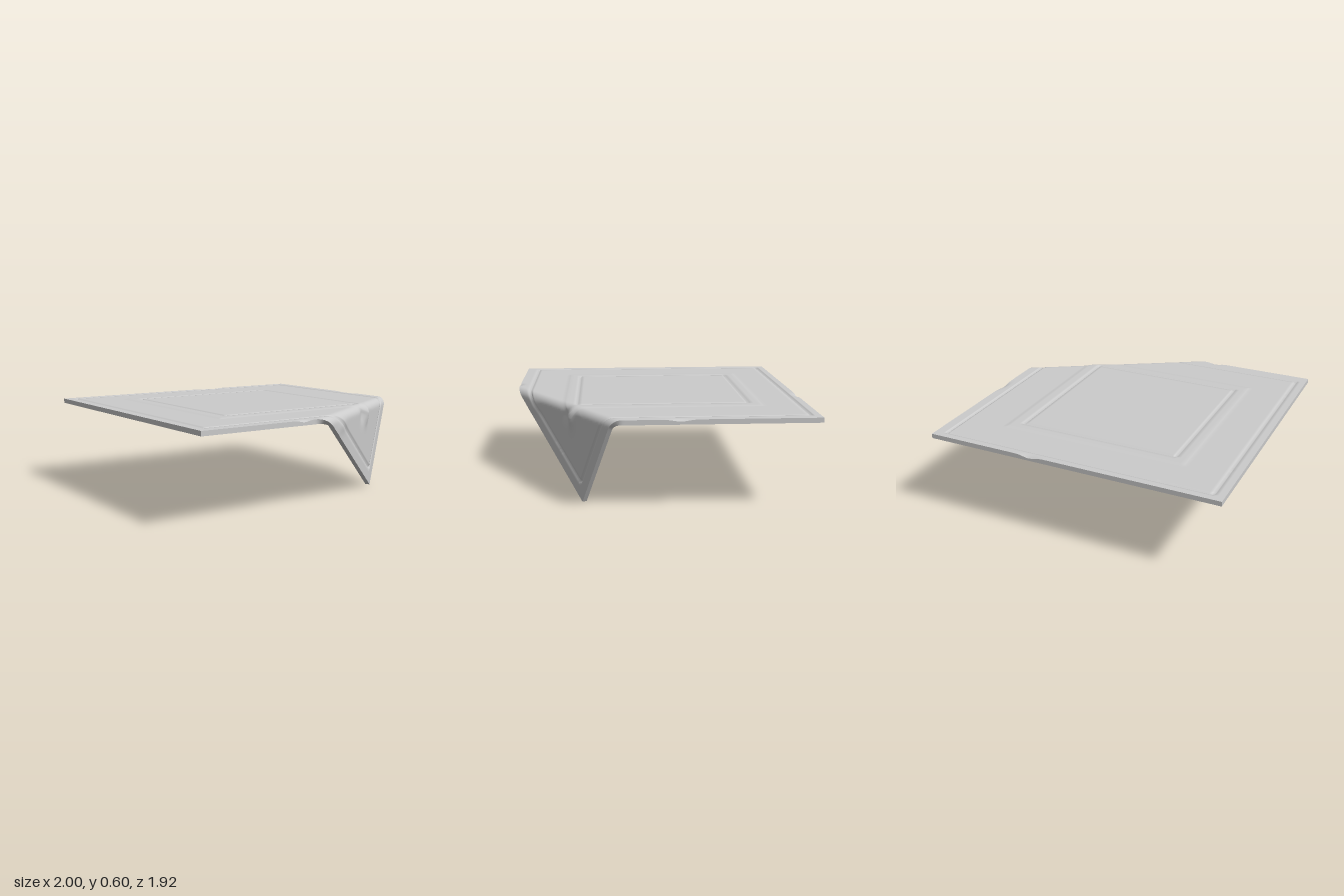
import * as THREE from 'three';

// Sheet limits, heights and the diagonal fold across the front right corner
const X0 = -1, X1 = 1, Z0 = -0.96, Z1 = 0.96, BOTTOM = 0.565, TOP = 0.596;
const FOLD = { x: -0.07, z: 0.96, nx: 0.508, nz: 0.861, r: 0.06 };
const OUTER = [-0.93, 0.92, -0.9, 0.87];
const INNER = [-0.565, 0.53, -0.58, 0.53];
const PANEL = [-0.65, 0.62, -0.66, 0.61];

// Signed distance to a rectangle's border (positive inside)
const inside = (x, z, [a, b, c, d]) => Math.min(x - a, b - x, z - c, d - z);
const outsideBorder = (x, z, [a, b, c, d]) =>
  Math.hypot(Math.max(a - x, 0, x - b), Math.max(c - z, 0, z - d)) || -inside(x, z, [a, b, c, d]);
const bump = (dx, dz, wx, wz) => Math.exp(-((dx / wx) ** 2) - (dz / wz) ** 2);

// Distance past the start of the fold, and position along it
const across = (x, z) => (x - FOLD.x) * FOLD.nx + (z - FOLD.z) * FOLD.nz + FOLD.r;
const along = (x, z) => (x - FOLD.x) * FOLD.nz - (z - FOLD.z) * FOLD.nx;

// Relief of the upper face: grooves, raised panel, wrinkles, edge nicks
function topHeight(x, z) {
  let h = TOP;
  for (const rect of [OUTER, INNER]) {
    h -= 0.012 * Math.max(0, 1 - Math.abs(outsideBorder(x, z, rect)) / 0.012);
  }
  h += 0.004 * THREE.MathUtils.smoothstep(inside(x, z, PANEL), -0.01, 0.01);
  const s = across(x, z), a = along(x, z);
  h += 0.02 * bump(a - 0.77, s - 0.11, 0.03, 0.06);
  h -= 0.014 * bump(a - 0.69, s - 0.1, 0.04, 0.05);
  h += 0.008 * bump(a - 0.25, s - 0.12, 0.08, 0.04);
  h -= 0.015 * bump(x - 0.27, z - Z0, 0.05, 0.015);
  h -= 0.012 * bump(x + 0.27, z - Z1, 0.04, 0.015);
  h -= 0.012 * bump(x - X1, z + 0.1, 0.012, 0.06);
  return h;
}

// Roll a point of the flat sheet over the fold and let the flap hang down
const ARC = FOLD.r * Math.PI / 2;
const CENTRE = 0.6 - FOLD.r;
const STRETCH = CENTRE / (across(X1, Z1) - ARC);
function bend(x, y, z) {
  const s = across(x, z);
  if (s <= 0) return [x, y, z];
  const angle = Math.min(s / FOLD.r, Math.PI / 2);
  const radius = y - CENTRE;
  const drop = Math.max(0, s - ARC) * STRETCH;
  const out = Math.sin(angle) * radius - s;
  const shear = -0.05 * drop;
  return [
    x + FOLD.nx * out + FOLD.nz * shear,
    CENTRE + Math.cos(angle) * radius - drop,
    z + FOLD.nz * out - FOLD.nx * shear,
  ];
}

// Even steps, with extra lines along the grooves
function steps(min, max, marks) {
  const fine = marks.flatMap((m) => [m - 0.012, m, m + 0.012]);
  const list = [...fine, min, max];
  const n = 100;
  for (let i = 1; i < n; i++) {
    const v = min + (max - min) * i / n;
    if (fine.every((f) => Math.abs(f - v) > 0.006)) list.push(v);
  }
  return list.sort((p, q) => p - q);
}

// Grid surface whose front faces along u cross v
function grid(us, vs, point) {
  const positions = [], indices = [], w = vs.length;
  for (const u of us) for (const v of vs) positions.push(...bend(...point(u, v)));
  for (let i = 0; i < us.length - 1; i++) {
    for (let j = 0; j < w - 1; j++) {
      const a = i * w + j, b = a + w;
      indices.push(a, b, a + 1, b, b + 1, a + 1);
    }
  }
  const geometry = new THREE.BufferGeometry();
  geometry.setAttribute('position', new THREE.Float32BufferAttribute(positions, 3));
  geometry.setIndex(indices);
  geometry.computeVertexNormals();
  return geometry;
}

export function createModel() {
  const group = new THREE.Group();
  group.name = 'foldedSheet';
  const material = new THREE.MeshStandardMaterial({ color: 0xcccccc });
  const add = (name, geometry) => {
    const mesh = new THREE.Mesh(geometry, material);
    mesh.name = name;
    group.add(mesh);
  };

  const xs = steps(X0, X1, [OUTER[0], OUTER[1], INNER[0], INNER[1], PANEL[0], PANEL[1]]);
  const zs = steps(Z0, Z1, [OUTER[2], OUTER[3], INNER[2], INNER[3], PANEL[2], PANEL[3]]);
  const ends = [0, 1];
  const edge = (x, t, z) => [x, THREE.MathUtils.lerp(BOTTOM, topHeight(x, z), t), z];

  // Upper and lower faces
  add('upperFace', grid(zs, xs, (z, x) => [x, topHeight(x, z), z]));
  add('lowerFace', grid(xs, zs, (x, z) => [x, BOTTOM, z]));

  // Thin rim on all four sides
  add('frontEdge', grid(xs, ends, (x, t) => edge(x, t, Z1)));
  add('backEdge', grid(ends, xs, (t, x) => edge(x, t, Z0)));
  add('leftEdge', grid(ends, zs, (t, z) => edge(X1, t, z)));
  add('rightEdge', grid(zs, ends, (z, t) => edge(X0, t, z)));

  return group;
}
